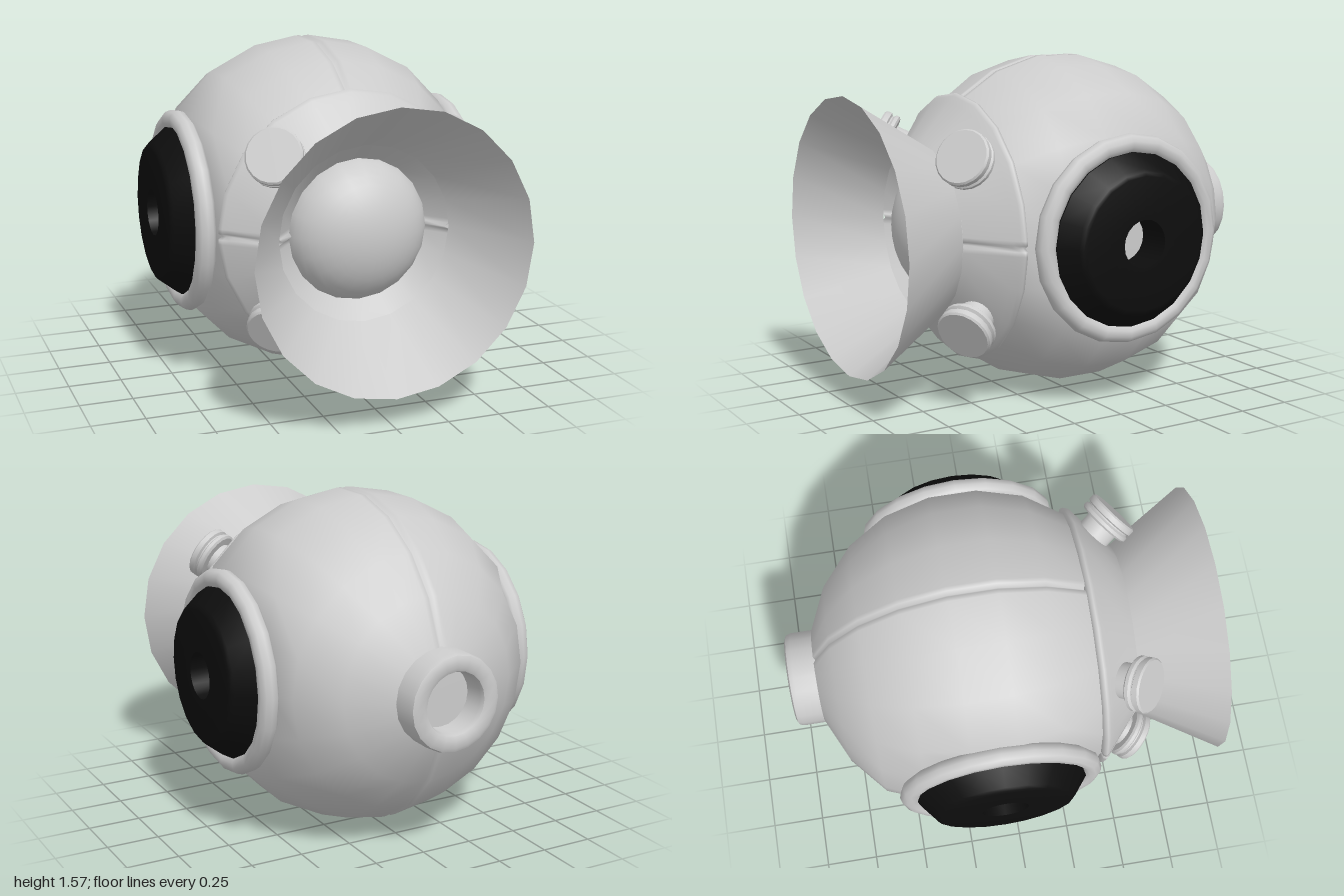
import * as THREE from 'three';
import { toCreasedNormals } from 'three/addons/utils/BufferGeometryUtils.js';

const SIDES = 20, AXIS_Y = 0.795;
const grey = new THREE.MeshStandardMaterial({ color: 0xcccccc });
const greyThin = new THREE.MeshStandardMaterial({ color: 0xcccccc, side: THREE.DoubleSide });
const black = new THREE.MeshStandardMaterial({ color: 0x0d0d0d });

// Shell around the z axis from [radius, z] rings, with two opposite V grooves.
// seamStep is the side index of the first groove.
function groovedShell(profile, seamStep, adjust) {
  const step = (Math.PI * 2) / SIDES;
  const columns = [];
  for (let k = 0; k < SIDES; k++) {
    if (k % (SIDES / 2) === seamStep) {
      for (const w of [-0.035, -0.014, 0, 0.014, 0.035]) columns.push({ a: k * step, w });
    } else columns.push({ a: k * step, w: null });
  }
  const pos = [], index = [], n = columns.length;
  for (const [r, z] of profile) {
    for (const { a, w } of columns) {
      const angle = a + (w ? w / Math.max(r, 0.15) : 0);
      const rr = w === 0 ? Math.max(r - 0.022, 0) : r;
      const p = [Math.cos(angle) * rr, Math.sin(angle) * rr, z];
      if (adjust) adjust(p);
      pos.push(...p);
    }
  }
  for (let i = 0; i < profile.length - 1; i++) {
    for (let j = 0; j < n; j++) {
      const a = i * n + j, b = i * n + ((j + 1) % n);
      index.push(a, b, b + n, a, b + n, a + n);
    }
  }
  const geo = new THREE.BufferGeometry();
  geo.setAttribute('position', new THREE.Float32BufferAttribute(pos, 3));
  geo.setIndex(index);
  geo.computeVertexNormals();
  return geo;
}

const lathe = (points, sides = SIDES) =>
  toCreasedNormals(new THREE.LatheGeometry(points.map(([r, y]) => new THREE.Vector2(r, y)), sides), 0.65);

function add(parent, name, geometry, material = grey) {
  const mesh = new THREE.Mesh(geometry, material);
  mesh.name = name;
  parent.add(mesh);
  return mesh;
}

export function createModel() {
  const model = new THREE.Group();
  model.name = 'roundCameraPod';
  const core = new THREE.Group();
  core.name = 'core';
  core.position.y = AXIS_Y;
  model.add(core);

  // Ball body, flattened under the side covers, split by a vertical seam
  const R = 0.795, cz = -0.105;
  const ball = [[0, -0.87], [0.2, -0.87]];
  for (let deg = -73.6; deg < 42; deg += 16.36) {
    const t = THREE.MathUtils.degToRad(deg);
    ball.push([R * Math.cos(t), cz + R * Math.sin(t)]);
  }
  ball.push([0.57, 0.43]);
  add(core, 'body', groovedShell(ball, SIDES / 4, (p) => {
    p[0] = THREE.MathUtils.clamp(p[0], -0.63, 0.63);
  }));

  // Conical front collar and eye socket, split by a horizontal seam
  add(core, 'frontCollar', groovedShell(
    [[0.55, 0.4], [0.6, 0.405], [0.625, 0.415], [0.63, 0.43], [0.617, 0.445], [0.59, 0.466], [0.43, 0.603], [0.41, 0.62]], 0));
  add(core, 'eyeSocket', groovedShell([[0.41, 0.62], [0.325, 0.52], [0.3, 0.49]], 0));

  // Domed eye
  const eye = add(core, 'eye',
    new THREE.SphereGeometry(0.335, SIDES, 10, 0, Math.PI * 2, 0, Math.PI / 2).rotateX(Math.PI / 2));
  eye.position.z = 0.49;
  eye.scale.z = 0.7;

  // Flared hood
  add(core, 'hood', lathe([[0.41, 0.62], [0.645, 1]]).rotateX(Math.PI / 2), greyThin);

  // Hollow rear socket
  add(core, 'rearSocket', lathe([
    [0.14, -0.15], [0.225, -0.15], [0.225, 0.1], [0.218, 0.122], [0.2, 0.13],
    [0.165, 0.13], [0.147, 0.122], [0.14, 0.1], [0.14, -0.15],
  ]).rotateX(-Math.PI / 2)).position.z = -0.87;

  // Side covers: rounded ring and a black dished disc with a central hole
  const ring = new THREE.TorusGeometry(0.435, 0.046, 10, SIDES).rotateY(Math.PI / 2);
  const disc = lathe([
    [0.4, 0.62], [0.4, 0.7], [0.335, 0.782], [0.322, 0.795], [0.305, 0.8],
    [0.11, 0.8], [0.11, 0.6],
  ]).rotateZ(-Math.PI / 2);
  for (const side of [1, -1]) {
    const cover = new THREE.Group();
    cover.name = side > 0 ? 'leftCover' : 'rightCover';
    cover.position.z = -0.085;
    if (side < 0) cover.rotation.y = Math.PI;
    core.add(cover);
    add(cover, 'coverRing', ring).position.x = 0.664;
    add(cover, 'coverDisc', disc, black);
  }

  // Four grooved knobs standing square on the collar
  const knob = lathe([
    [0.085, -0.05], [0.085, 0.06], [0.12, 0.063], [0.13, 0.072], [0.13, 0.088], [0.118, 0.097],
    [0.118, 0.103], [0.13, 0.11], [0.13, 0.135], [0.122, 0.143], [0, 0.143],
  ]);
  const up = new THREE.Vector3(0, 1, 0);
  for (const sx of [1, -1]) {
    for (const sy of [1, -1]) {
      const cx = sx * Math.cos(0.74), cy = sy * Math.sin(0.74);
      const mesh = add(core, 'knob', knob);
      mesh.position.set(cx * 0.504, cy * 0.504, 0.534);
      mesh.quaternion.setFromUnitVectors(up, new THREE.Vector3(cx * 0.65, cy * 0.65, 0.76).normalize());
    }
  }
  return model;
}
